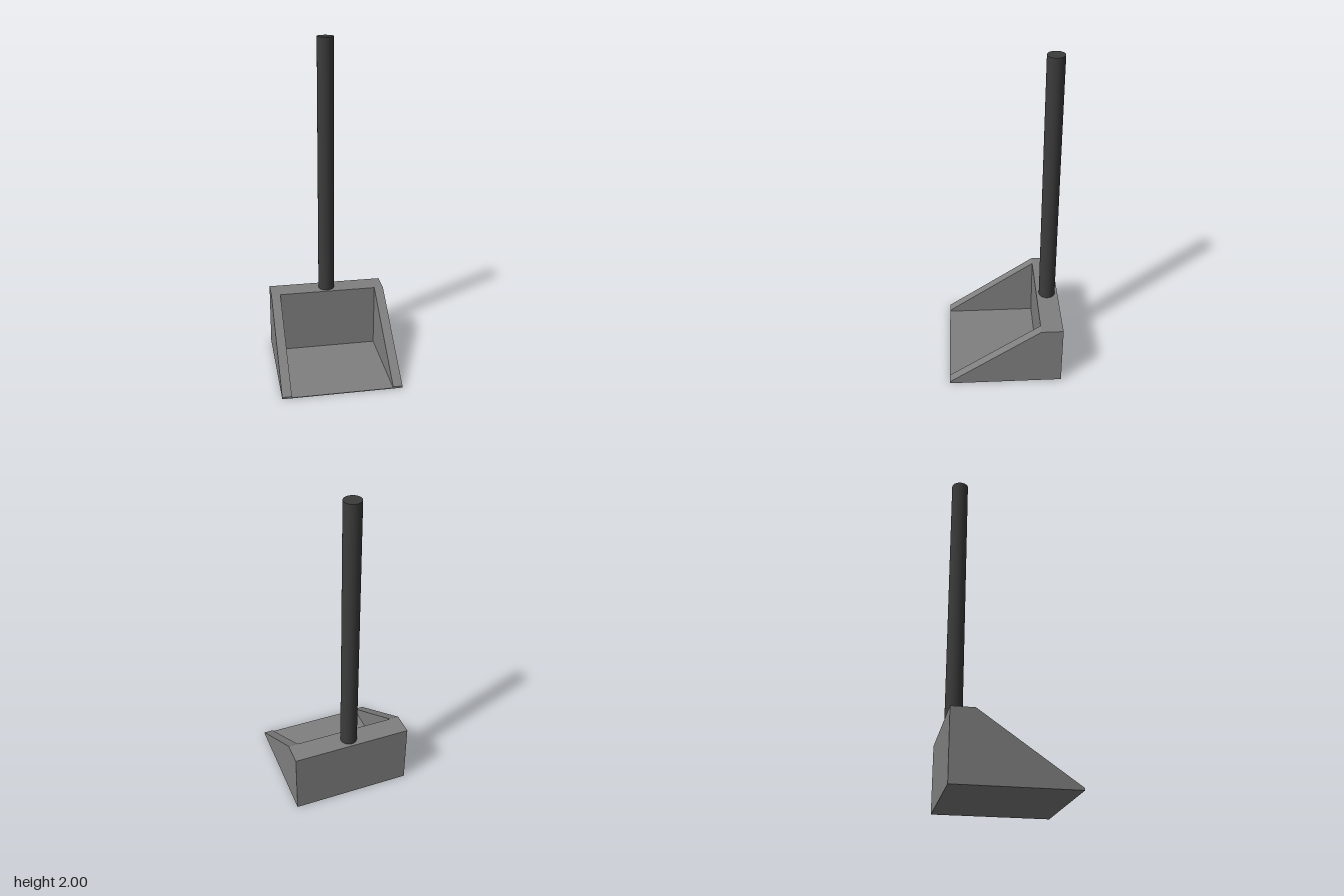
import * as THREE from 'three';

const HALF_W = 0.362, WALL = 0.057, FRONT = 0.346, BACK = -0.346, INNER = -0.213;
const HEIGHT = 0.4, LIP = 0.012, FLOOR = 0.004;

export function createModel() {
  const group = new THREE.Group();
  const panMaterial = new THREE.MeshStandardMaterial({ color: 0x808080 });
  const handleMaterial = new THREE.MeshStandardMaterial({ color: 0x3c3c3c });

  const add = (name, geometry, material, x, y, z) => {
    const mesh = new THREE.Mesh(geometry, material);
    mesh.name = name;
    mesh.position.set(x, y, z);
    group.add(mesh);
    return mesh;
  };

  // Sloping side walls: profile drawn in (-z, y), extruded across x
  const profile = new THREE.Shape([
    [-FRONT, 0], [-INNER, 0], [-INNER, HEIGHT], [-FRONT, LIP],
  ].map(([a, b]) => new THREE.Vector2(a, b)));
  const wall = new THREE.ExtrudeGeometry(profile, { depth: WALL, bevelEnabled: false });
  wall.rotateY(Math.PI / 2);
  add('leftWall', wall, panMaterial, HALF_W - WALL, 0, 0);
  add('rightWall', wall, panMaterial, -HALF_W, 0, 0);

  // Thick back block that carries the handle
  add('backBlock', new THREE.BoxGeometry(2 * HALF_W, HEIGHT, INNER - BACK),
    panMaterial, 0, HEIGHT / 2, (INNER + BACK) / 2);

  // Thin floor between the walls
  add('floor', new THREE.BoxGeometry(2 * (HALF_W - WALL), FLOOR, FRONT - INNER),
    panMaterial, 0, FLOOR / 2, (FRONT + INNER) / 2);

  // Upright round handle
  add('handle', new THREE.CylinderGeometry(0.05, 0.05, 2 - HEIGHT, 32),
    handleMaterial, 0, (2 + HEIGHT) / 2, (INNER + BACK) / 2);

  return group;
}
